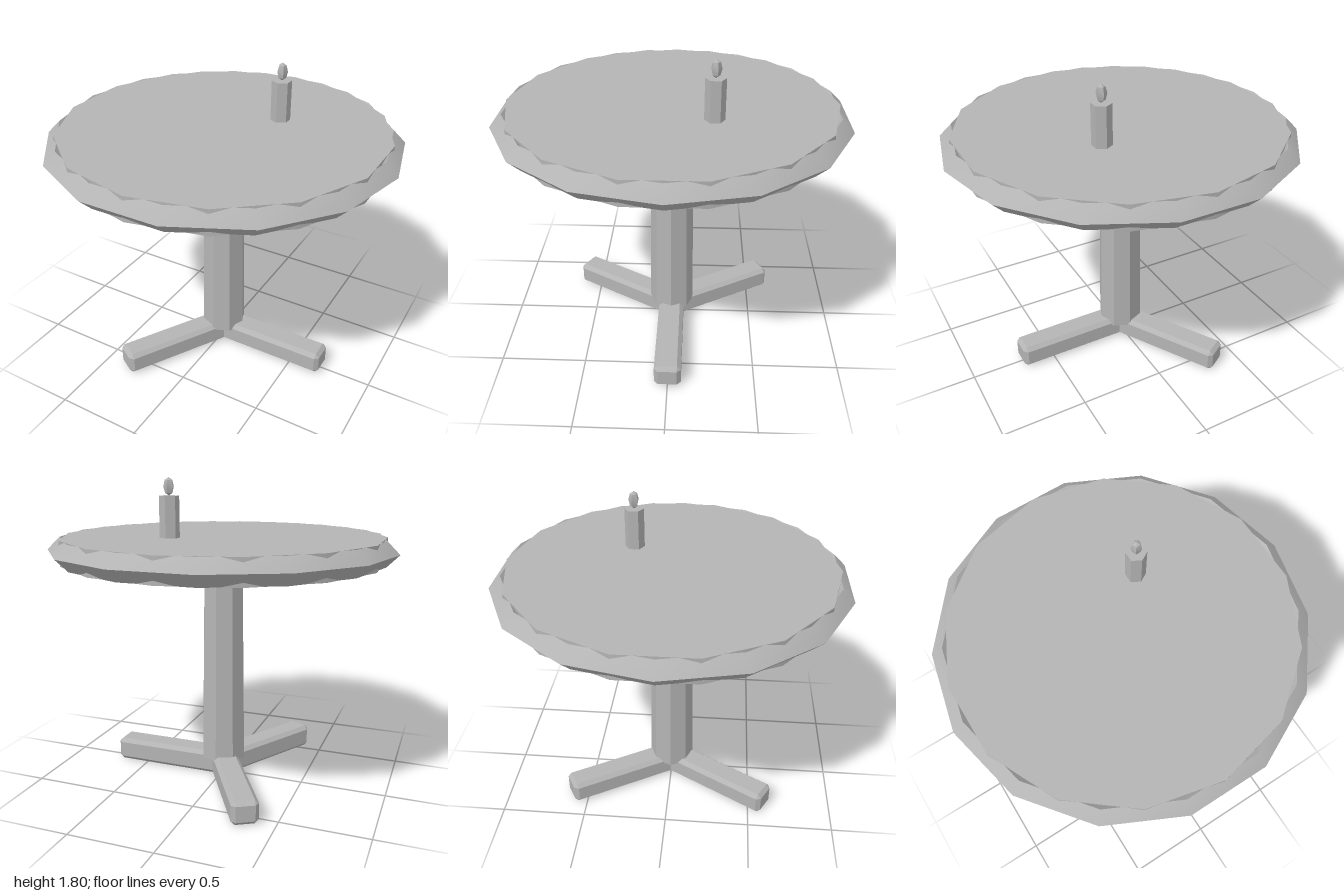
import * as THREE from 'three';
import { toCreasedNormals } from 'three/addons/utils/BufferGeometryUtils.js';
import { ConvexGeometry } from 'three/addons/geometries/ConvexGeometry.js';

const grey = new THREE.MeshStandardMaterial({ color: 0xb4b4b4 });
grey.name = 'grey';

// Smooth across shallow angles, sharp across the others
function part(name, geometry, x = 0, y = 0, z = 0) {
  const mesh = new THREE.Mesh(toCreasedNormals(geometry, 0.6), grey);
  mesh.name = name;
  mesh.position.set(x, y, z);
  return mesh;
}

// Box with every edge and corner chamfered by b
function chamferBox(w, h, d, b) {
  const half = [w / 2, h / 2, d / 2];
  const points = [];
  for (const sx of [-1, 1]) for (const sy of [-1, 1]) for (const sz of [-1, 1]) {
    for (let full = 0; full < 3; full++) {
      const p = [sx, sy, sz].map((s, i) => s * (half[i] - (i === full ? 0 : b)));
      points.push(new THREE.Vector3(...p));
    }
  }
  return new ConvexGeometry(points);
}

export function createModel() {
  const model = new THREE.Group();
  model.name = 'pedestalTable';

  // Table top: a disc with a diamond-section rim, their corners offset by half a side
  model.add(part('tableTop', new THREE.CylinderGeometry(0.93, 0.93, 0.14, 14), 0, 1.4, 0));
  const rim = new THREE.TorusGeometry(0.93, 0.07, 4, 14).rotateX(Math.PI / 2);
  model.add(part('tableRim', rim, 0, 1.4, 0));

  // Tapered column
  model.add(part('column', new THREE.CylinderGeometry(0.118, 0.136, 1.23, 8), 0, 0.725, 0));

  // Three feet, the first pointing to +x
  const inner = 0.015, outer = 0.695;
  for (let i = 0; i < 3; i++) {
    const geometry = chamferBox(outer - inner, 0.14, 0.155, 0.023);
    geometry.translate((inner + outer) / 2, 0.07, 0);
    const foot = part('foot', geometry);
    foot.rotation.y = i * Math.PI * 2 / 3;
    model.add(foot);
  }

  // Candle and flame
  const candle = new THREE.Group();
  candle.name = 'candle';
  candle.position.set(0.232, 1.47, -0.234);
  candle.add(part('candleStick', new THREE.CylinderGeometry(0.056, 0.056, 0.23, 6), 0, 0.115, 0));
  const flame = new THREE.SphereGeometry(0.031, 5, 4).rotateY(-Math.PI / 2).scale(1, 1.61, 1);
  candle.add(part('flame', flame, 0, 0.28, 0));
  model.add(candle);

  return model;
}
